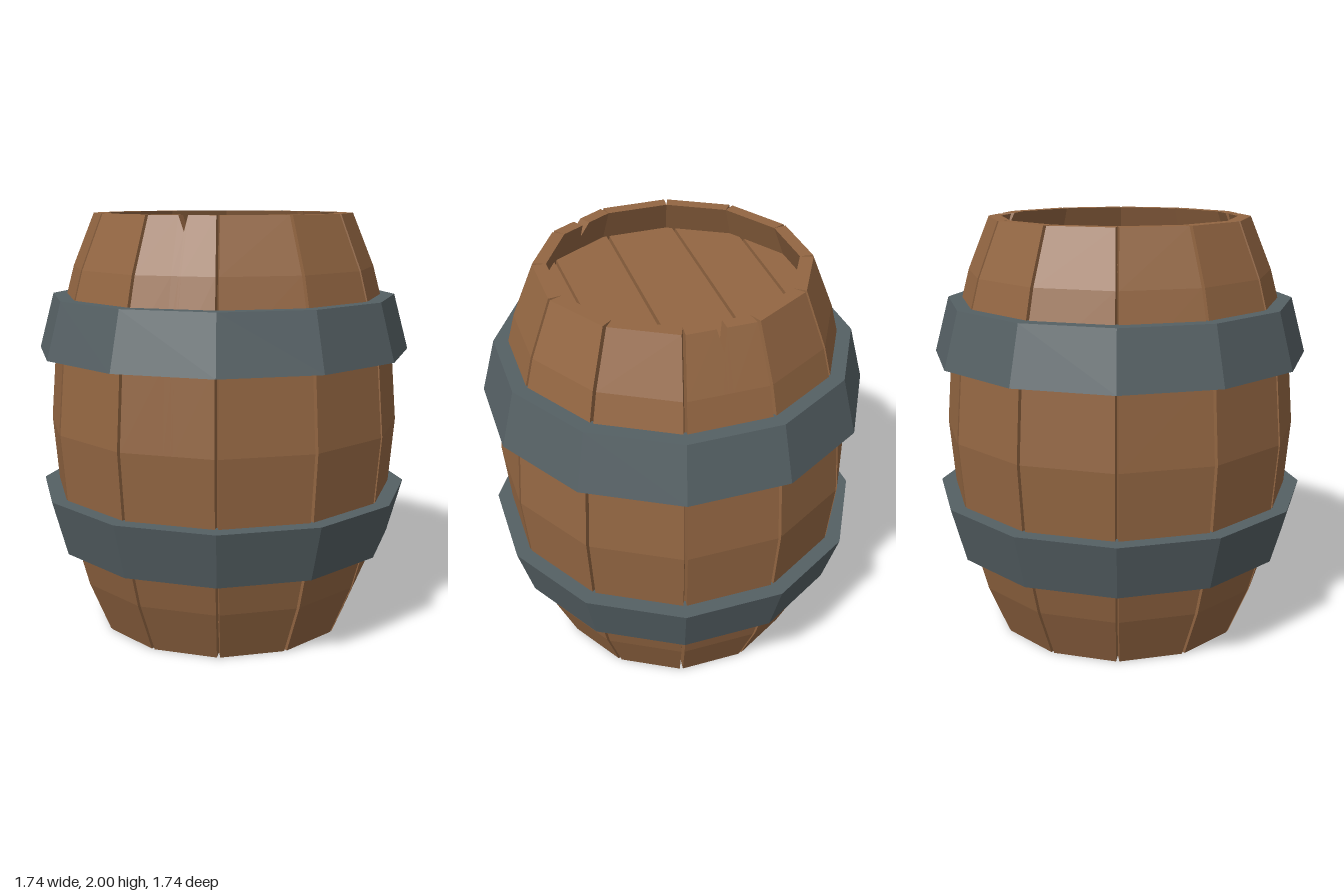
import * as THREE from 'three';

const SIDES = 12;
const STEP = (Math.PI * 2) / SIDES;
const TAN = Math.tan(STEP / 2);
const COS = Math.cos(STEP / 2);

// Barrel profile: [height, distance from axis to the middle of a stave]
const PROFILE = [
  [0, 0.6], [0.25, 0.7], [0.61, 0.794], [1, 0.825], [1.39, 0.794], [1.75, 0.7], [2, 0.6],
];
const THICK = 0.06;
const GAP = 0.008;

function flat(geometry) {
  const g = geometry.index ? geometry.toNonIndexed() : geometry;
  g.computeVertexNormals();
  return g;
}

// One stave facing +z; an optional notch { at, tip, depth } splits its upper rim
function staveGeometry(notch) {
  const columns = notch ? [-1, notch.at - 0.022, notch.at + notch.tip, notch.at + 0.022, 1] : [-1, 1];
  const n = columns.length;
  const rows = PROFILE.map(([y, r], row) => {
    const line = (inner) => columns.map((c, i) => {
      let py = y, pr = r;
      if (notch && row === PROFILE.length - 1 && i === 2) {
        py -= notch.depth;
        pr += notch.depth * 0.4;
      }
      const radius = pr - (inner ? THICK : 0);
      const half = radius * TAN - (inner ? 0 : GAP);
      const x = Math.abs(c) === 1 ? c * half : c;
      return [x, py, radius];
    });
    return [...line(false), ...line(true).reverse()];
  });
  const out = [];
  const quad = (a, b, c, d) => out.push(...a, ...b, ...c, ...a, ...c, ...d);
  const count = 2 * n;
  for (let j = 0; j < rows.length - 1; j++) {
    for (let i = 0; i < count; i++) {
      const k = (i + 1) % count;
      quad(rows[j][i], rows[j][k], rows[j + 1][k], rows[j + 1][i]);
    }
  }
  // End grain at top and bottom
  const top = rows[rows.length - 1], low = rows[0];
  for (let i = 0; i < n - 1; i++) {
    quad(top[i], top[i + 1], top[count - 2 - i], top[count - 1 - i]);
    quad(low[count - 1 - i], low[count - 2 - i], low[i + 1], low[i]);
  }
  const g = new THREE.BufferGeometry();
  g.setAttribute('position', new THREE.Float32BufferAttribute(out, 3));
  return flat(g);
}

// Closed twelve-sided band from [radius, height] points
function bandGeometry(points) {
  const pts = points.map(([r, y]) => new THREE.Vector2(r / COS, y));
  return flat(new THREE.LatheGeometry(pts, SIDES, STEP / 2));
}

// Keep the part of a convex polygon where side(point) >= 0
function clip(poly, side) {
  const out = [];
  poly.forEach((p, i) => {
    const q = poly[(i + 1) % poly.length];
    const a = side(p), b = side(q);
    if (a >= 0) out.push(p);
    if (a * b < 0) out.push(p.clone().lerp(q, a / (a - b)));
  });
  return out;
}

// Planks of a barrel head, separated by slightly slanted seams
function plankGeometries(radius, thickness) {
  const seams = [[-0.465, -0.03], [-0.18, -0.025], [0.148, -0.02], [0.435, 0.01]];
  const outline = [];
  for (let i = 0; i < SIDES; i++) {
    const a = (i + 0.5) * STEP;
    outline.push(new THREE.Vector2(Math.cos(a), Math.sin(a)).multiplyScalar(radius / COS));
  }
  const seamX = ([x, slope], p) => x - slope * p.y;
  const planks = [];
  for (let i = 0; i <= seams.length; i++) {
    let poly = outline;
    if (i > 0) poly = clip(poly, (p) => p.x - seamX(seams[i - 1], p) - 0.007);
    if (i < seams.length) poly = clip(poly, (p) => seamX(seams[i], p) - 0.007 - p.x);
    const g = new THREE.ExtrudeGeometry(new THREE.Shape(poly), { depth: thickness, bevelEnabled: false });
    planks.push(g.rotateX(-Math.PI / 2));
  }
  return planks;
}

export function createModel() {
  const model = new THREE.Group();
  model.name = 'barrel';
  const wood = new THREE.MeshStandardMaterial({ color: 0x936642 });
  wood.name = 'wood';
  const iron = new THREE.MeshStandardMaterial({ color: 0x556064 });
  iron.name = 'iron';

  const add = (parent, name, geometry, material) => {
    const mesh = new THREE.Mesh(geometry, material);
    mesh.name = name;
    parent.add(mesh);
    return mesh;
  };

  // Staves; two of them have a split in the upper rim
  const staves = new THREE.Group();
  staves.name = 'staves';
  model.add(staves);
  const notches = {
    1: { at: 0.006, tip: 0.012, depth: 0.07 },
    6: { at: 0, tip: 0, depth: 0.09 },
  };
  const plain = staveGeometry();
  for (let i = 0; i < SIDES; i++) {
    const geometry = notches[i] ? staveGeometry(notches[i]) : plain;
    add(staves, 'stave', geometry, wood).rotation.y = i * STEP;
  }

  // Recessed heads: planks over a backing disc
  const planks = plankGeometries(0.61, 0.03);
  for (const [name, plankY, backY] of [['topHead', 1.82, 1.81], ['bottomHead', 0.15, 0.19]]) {
    const head = new THREE.Group();
    head.name = name;
    model.add(head);
    planks.forEach((g) => { add(head, 'plank', g, wood).position.y = plankY; });
    const disc = flat(new THREE.CylinderGeometry(0.62 / COS, 0.62 / COS, 0.02, SIDES, 1, false, STEP / 2));
    add(head, 'backing', disc, wood).position.y = backY;
  }

  // Iron hoops flaring towards the middle
  add(model, 'lowerHoop', bandGeometry([[0.72, 0.42], [0.8, 0.42], [0.87, 0.685], [0.77, 0.685]]), iron);
  add(model, 'upperHoop', bandGeometry([[0.77, 1.35], [0.87, 1.35], [0.8, 1.615], [0.72, 1.615]]), iron);

  return model;
}
